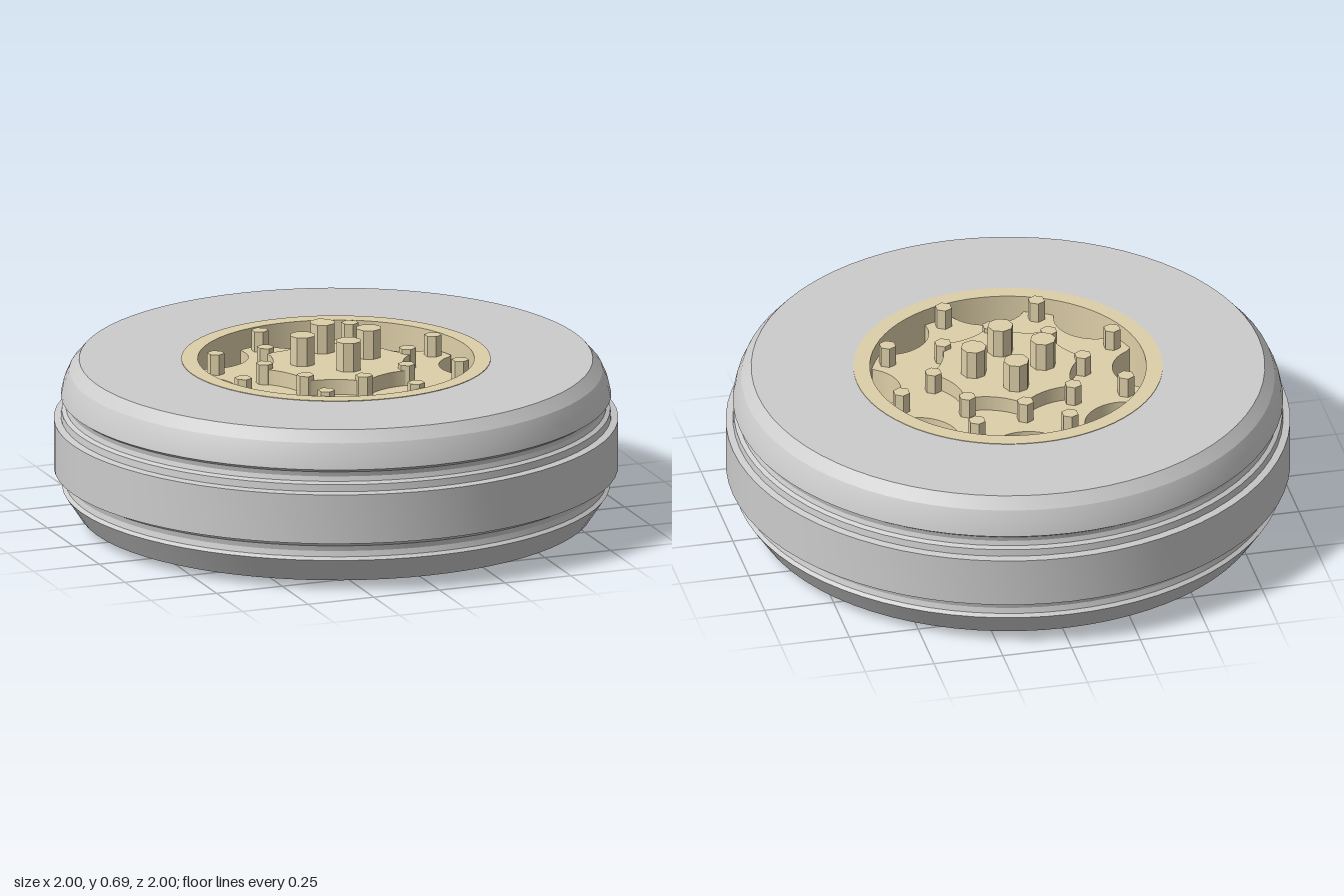
import * as THREE from 'three';
import { toCreasedNormals } from 'three/addons/utils/BufferGeometryUtils.js';

const rubber = new THREE.MeshStandardMaterial({ color: 0xcccccc });
const metal = new THREE.MeshStandardMaterial({ color: 0xddcfa8 });
const HUB_Z = 0.02; // the hub sits slightly off the wheel's axis
const DEG = Math.PI / 180;

function ring(name, profile, material) {
  const points = profile.map(([r, y]) => new THREE.Vector2(r, y));
  const geometry = toCreasedNormals(new THREE.LatheGeometry(points, 72), 0.3);
  const mesh = new THREE.Mesh(geometry, material);
  mesh.name = name;
  return mesh;
}

// Plate with eight circular bites: c = bite centre radius, bite = bite radius
function scallopedPlate(name, c, bite, maxR, phase, y0, y1) {
  const points = [];
  const n = 192;
  for (let i = 0; i < n; i++) {
    const a = (i / n) * 360;
    const t = ((((a - phase) % 45) + 45) % 45 - 22.5) * DEG; // angle from bite centre
    const d = bite * bite - (c * Math.sin(t)) ** 2;
    const r = d > 0 ? Math.min(maxR, c * Math.cos(t) - Math.sqrt(d)) : maxR;
    points.push(new THREE.Vector2(r * Math.cos(a * DEG), -r * Math.sin(a * DEG)));
  }
  const geometry = new THREE.ExtrudeGeometry(new THREE.Shape(points), {
    depth: y1 - y0, bevelEnabled: false,
  });
  geometry.rotateX(-Math.PI / 2);
  const mesh = new THREE.Mesh(toCreasedNormals(geometry, 0.5), metal);
  mesh.name = name;
  mesh.position.set(0, y0, HUB_Z);
  return mesh;
}

function boltCircle(name, count, circleR, phase, boltR, sides, y0, y1, z) {
  const group = new THREE.Group();
  group.name = name + 's';
  const geometry = toCreasedNormals(
    new THREE.CylinderGeometry(boltR, boltR, y1 - y0, sides), 0.3);
  for (let i = 0; i < count; i++) {
    const a = (phase + (i * 360) / count) * DEG;
    const bolt = new THREE.Mesh(geometry, metal);
    bolt.name = name;
    bolt.position.set(circleR * Math.cos(a), (y0 + y1) / 2, z + circleR * Math.sin(a));
    group.add(bolt);
  }
  return group;
}

export function createModel() {
  const wheel = new THREE.Group();
  wheel.name = 'wheel';

  // Tyre with a raised centre tread between two rounded grooves
  wheel.add(ring('tyre', [
    [0.54, 0.03], [0.91, 0.03], [0.97, 0.12],
    [0.957, 0.13], [0.952, 0.15], [0.957, 0.17], [0.972, 0.183], [1, 0.19],
    [1, 0.37], [0.975, 0.375], [0.972, 0.4],
    [0.957, 0.408], [0.952, 0.425], [0.957, 0.443], [0.975, 0.455],
    [0.965, 0.5], [0.945, 0.545], [0.91, 0.585], [0.54, 0.585], [0.54, 0.03],
  ], rubber));

  // Open barrel of the rim
  wheel.add(ring('rim', [
    [0.49, 0], [0.548, 0], [0.548, 0.587], [0.49, 0.587], [0.49, 0],
  ], metal));

  // Spoked disc and raised central boss
  wheel.add(scallopedPlate('disc', 0.53, 0.15, 0.485, -108, 0.32, 0.525));
  wheel.add(scallopedPlate('boss', 0.45, 0.22, 0.28, -90, 0.52, 0.58));

  // Bolts on the spokes, round the boss, and on the hub
  wheel.add(boltCircle('spokeBolt', 8, 0.435, -108, 0.031, 6, 0.52, 0.6, HUB_Z));
  wheel.add(boltCircle('bossBolt', 8, 0.272, -90, 0.031, 6, 0.52, 0.598, 0));
  wheel.add(boltCircle('hubBolt', 4, 0.126, 0, 0.046, 8, 0.57, 0.685, -0.005));

  return wheel;
}
